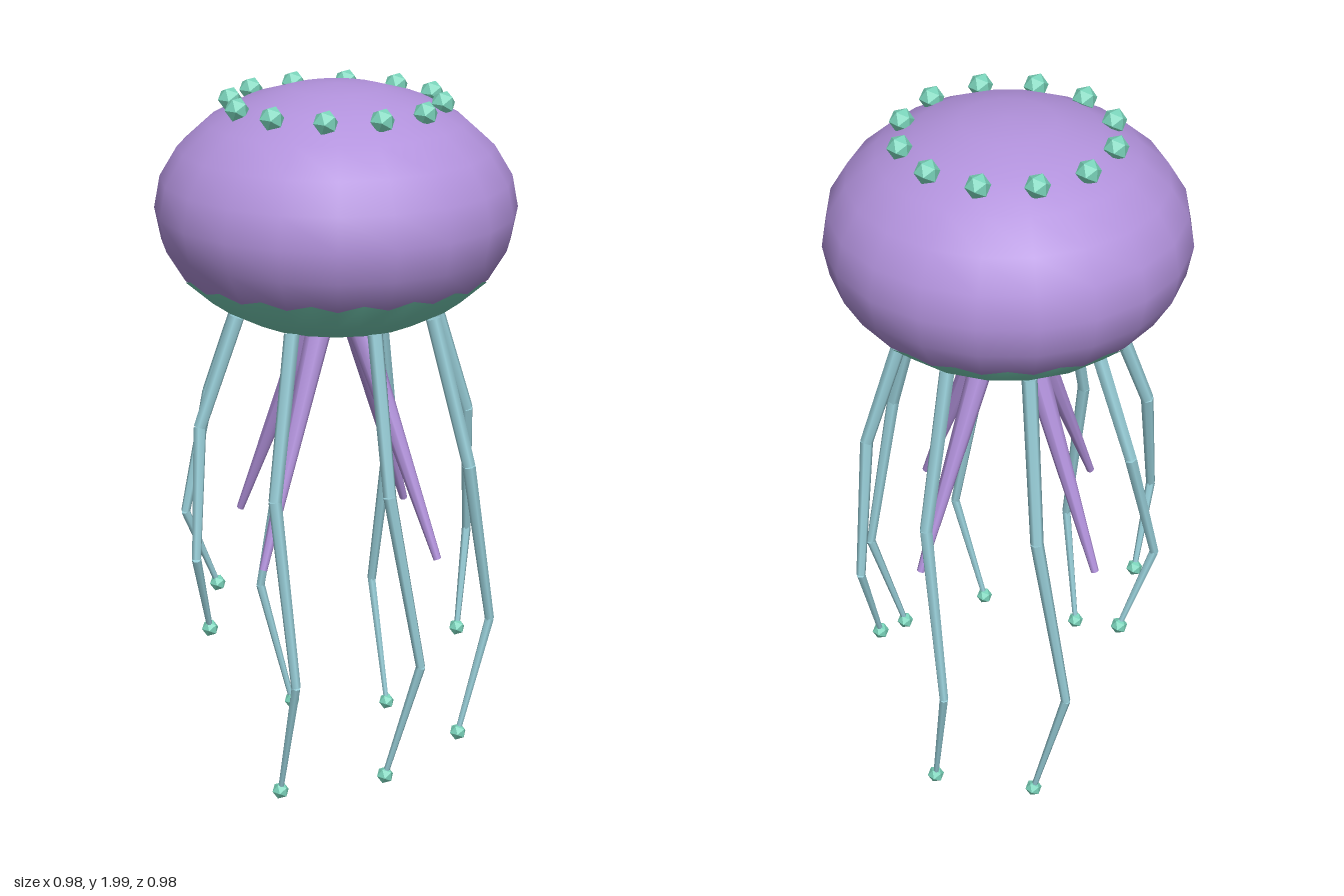
import * as THREE from 'three';

const purple = new THREE.MeshStandardMaterial({ color: 0xb292dc });
purple.name = 'bellPurple';
const teal = new THREE.MeshStandardMaterial({ color: 0x7ad3ba });
teal.name = 'seaGreen';
const blue = new THREE.MeshStandardMaterial({ color: 0x98ced8 });
blue.name = 'paleBlue';

const RX = 0.488, RY = 0.335, CY = 1.665;
const rad = THREE.MathUtils.degToRad;

function add(parent, name, geometry, material) {
  const mesh = new THREE.Mesh(geometry, material);
  mesh.name = name;
  parent.add(mesh);
  return mesh;
}

// Point at an angle around the vertical axis (0 = +x, 90 = +z)
const polar = (deg, r, y) =>
  new THREE.Vector3(r * Math.cos(rad(deg)), y, r * Math.sin(rad(deg)));

// Tapered rod between two points
function rod(parent, name, a, b, ra, rb, sides, material) {
  const dir = b.clone().sub(a);
  const mesh = add(parent, name, new THREE.CylinderGeometry(rb, ra, dir.length(), sides), material);
  mesh.position.copy(a).add(b).multiplyScalar(0.5);
  mesh.quaternion.setFromUnitVectors(new THREE.Vector3(0, 1, 0), dir.normalize());
}

// Lower cap that hugs the 20-sided bell and has a small scalloped rim
function undersideGeometry() {
  const cols = 40, rows = 4;
  const geo = new THREE.SphereGeometry(1, cols, rows);
  const pos = geo.attributes.position, normal = geo.attributes.normal;
  for (let row = 0, i = 0; row <= rows; row++) {
    for (let col = 0; col <= cols; col++, i++) {
      const rim = col % 2 ? 117.5 : 121;
      const theta = rad(row === 0 ? rim : 120 + (60 * row) / rows);
      const phi = (col / cols) * Math.PI * 2;
      const x = -Math.cos(phi) * Math.sin(theta), z = Math.sin(phi) * Math.sin(theta);
      const flat = col % 2 ? Math.cos(rad(9)) : 1;
      pos.setXYZ(i, x * flat, Math.cos(theta), z * flat);
      normal.setXYZ(i, x, Math.cos(theta), z);
    }
  }
  // Drop the collapsed top row of the full sphere's index and rebuild all quads
  const index = [];
  for (let row = 0; row < rows; row++) {
    for (let col = 0; col < cols; col++) {
      const a = row * (cols + 1) + col, b = a + cols + 1;
      index.push(a, b, a + 1, b, b + 1, a + 1);
    }
  }
  geo.setIndex(index);
  return geo.scale(RX * 1.006, RY * 1.006, RX * 1.006);
}

export function createModel() {
  const model = new THREE.Group();
  model.name = 'jellyfish';

  // Bell and its underside
  const bellGeo = new THREE.SphereGeometry(1, 20, 12).scale(RX, RY, RX);
  add(model, 'bell', bellGeo, purple).position.y = CY;
  add(model, 'underside', undersideGeometry(), teal).position.y = CY;

  // Ring of beads on the crown
  const beads = new THREE.Group();
  beads.name = 'crownBeads';
  model.add(beads);
  const beadGeo = new THREE.IcosahedronGeometry(0.034, 0);
  for (let i = 0; i < 12; i++) {
    add(beads, 'bead', beadGeo, teal).position.copy(polar(i * 30, 0.283, 1.951));
  }

  // Four short arms spreading from the centre
  const arms = new THREE.Group();
  arms.name = 'oralArms';
  model.add(arms);
  for (let i = 0; i < 4; i++) {
    rod(arms, 'oralArm', polar(i * 90, 0.06, 1.39), polar(i * 90, 0.34, 0.725), 0.037, 0.011, 8, purple);
  }

  // Eight bent tentacles with a bead on each tip; tip heights differ
  const tipGeo = new THREE.IcosahedronGeometry(0.024, 0);
  const tipHeights = [0.375, 0.18, 0.147, 0.095, 0.492, 0.507, 0.034, 0.034];
  tipHeights.forEach((tipY, i) => {
    const tentacle = new THREE.Group();
    tentacle.name = 'tentacle';
    model.add(tentacle);
    const angle = 33.6 + i * 45;
    const top = 1.387, drop = top - tipY;
    const points = [
      polar(angle, 0.285, top),
      polar(angle, 0.395, top - drop * 0.335),
      polar(angle - 10, 0.443, top - drop * 0.727),
      polar(angle, 0.377, tipY),
    ];
    const radii = [0.021, 0.018, 0.013, 0.008];
    for (let k = 0; k < 3; k++) {
      rod(tentacle, 'tentacleSegment', points[k], points[k + 1], radii[k], radii[k + 1], 6, blue);
    }
    add(tentacle, 'tentacleTip', tipGeo, teal).position.copy(points[3]);
  });

  return model;
}
